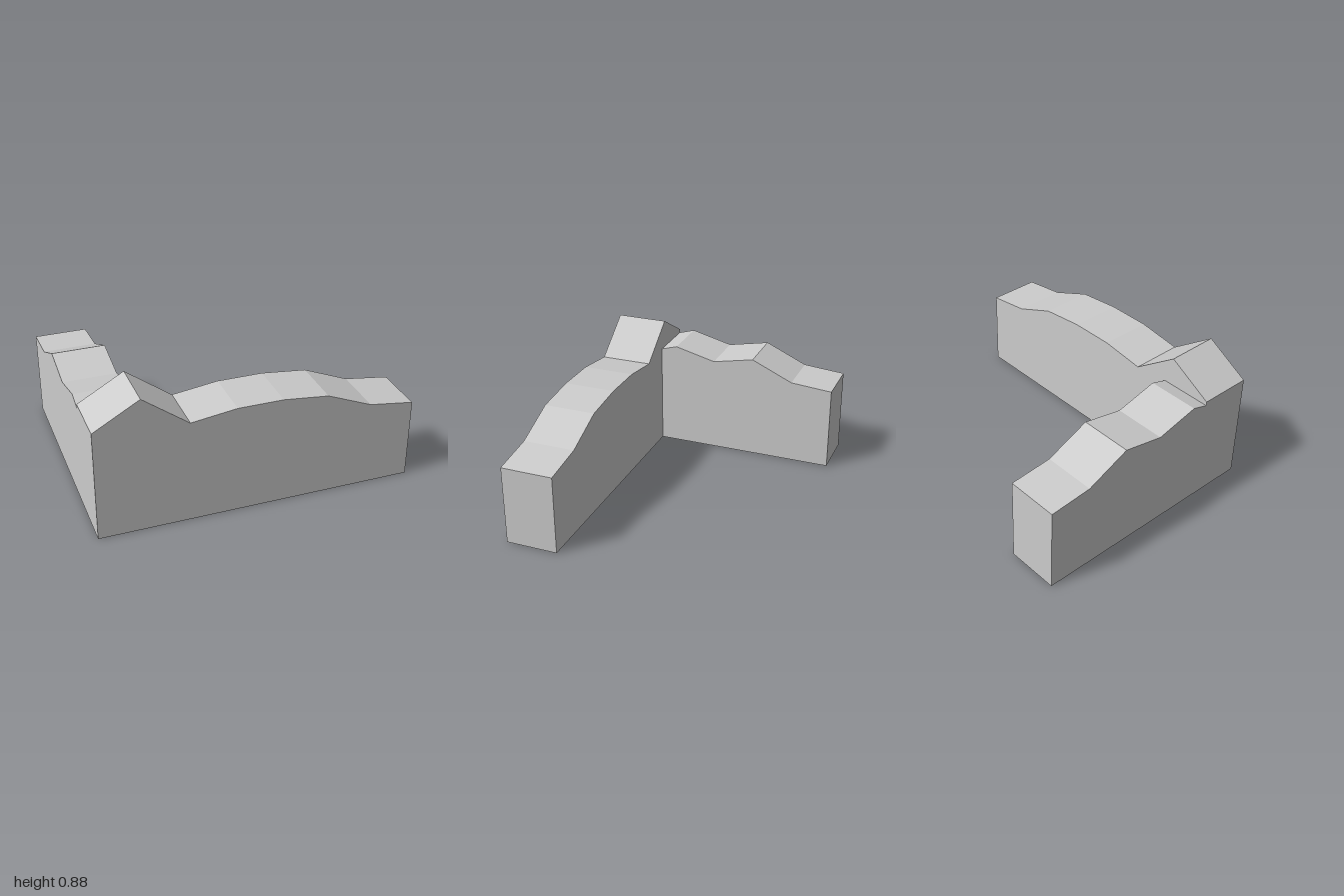
import * as THREE from 'three';

const THICKNESS = 0.34;

// Open-bottomed wall running along local x, with a jagged top of evenly spaced heights.
function wallGeometry(start, end, heights) {
  const t = THICKNESS / 2;
  const positions = [];
  const quad = (a, b, c, d) => positions.push(...a, ...b, ...c, ...a, ...c, ...d);
  const sections = heights.map((h, i) => {
    const x = start + ((end - start) * i) / (heights.length - 1);
    return [[x, 0, -t], [x, h, -t], [x, h, t], [x, 0, t]];
  });

  // Back, top and front faces between neighbouring sections
  for (let i = 0; i < sections.length - 1; i++) {
    const [s, n] = [sections[i], sections[i + 1]];
    for (let j = 0; j < 3; j++) quad(s[j], s[j + 1], n[j + 1], n[j]);
  }
  // End caps
  const first = sections[0];
  const last = sections[sections.length - 1];
  quad(first[0], first[3], first[2], first[1]);
  quad(...last);

  const geometry = new THREE.BufferGeometry();
  geometry.setAttribute('position', new THREE.Float32BufferAttribute(positions, 3));
  geometry.computeVertexNormals();
  return geometry;
}

export function createModel() {
  const group = new THREE.Group();
  group.name = 'ruinedCornerWall';

  const stone = new THREE.MeshStandardMaterial({ color: 0xcccccc, side: THREE.DoubleSide });
  stone.name = 'paleGreyStone';

  // Long wall across the front
  const frontWall = new THREE.Mesh(
    wallGeometry(-1, 1, [0.717, 0.88, 0.668, 0.706, 0.706, 0.675, 0.558, 0.517]), stone);
  frontWall.name = 'frontWall';
  frontWall.position.z = 0.615;

  // Shorter wall running back, its inner end buried in the front wall
  const sideWall = new THREE.Mesh(
    wallGeometry(-0.785, 0.615, [0.562, 0.585, 0.711, 0.654, 0.724, 0.639]), stone);
  sideWall.name = 'sideWall';
  sideWall.rotation.y = -Math.PI / 2;
  sideWall.position.x = -0.83;

  group.add(frontWall, sideWall);
  return group;
}
